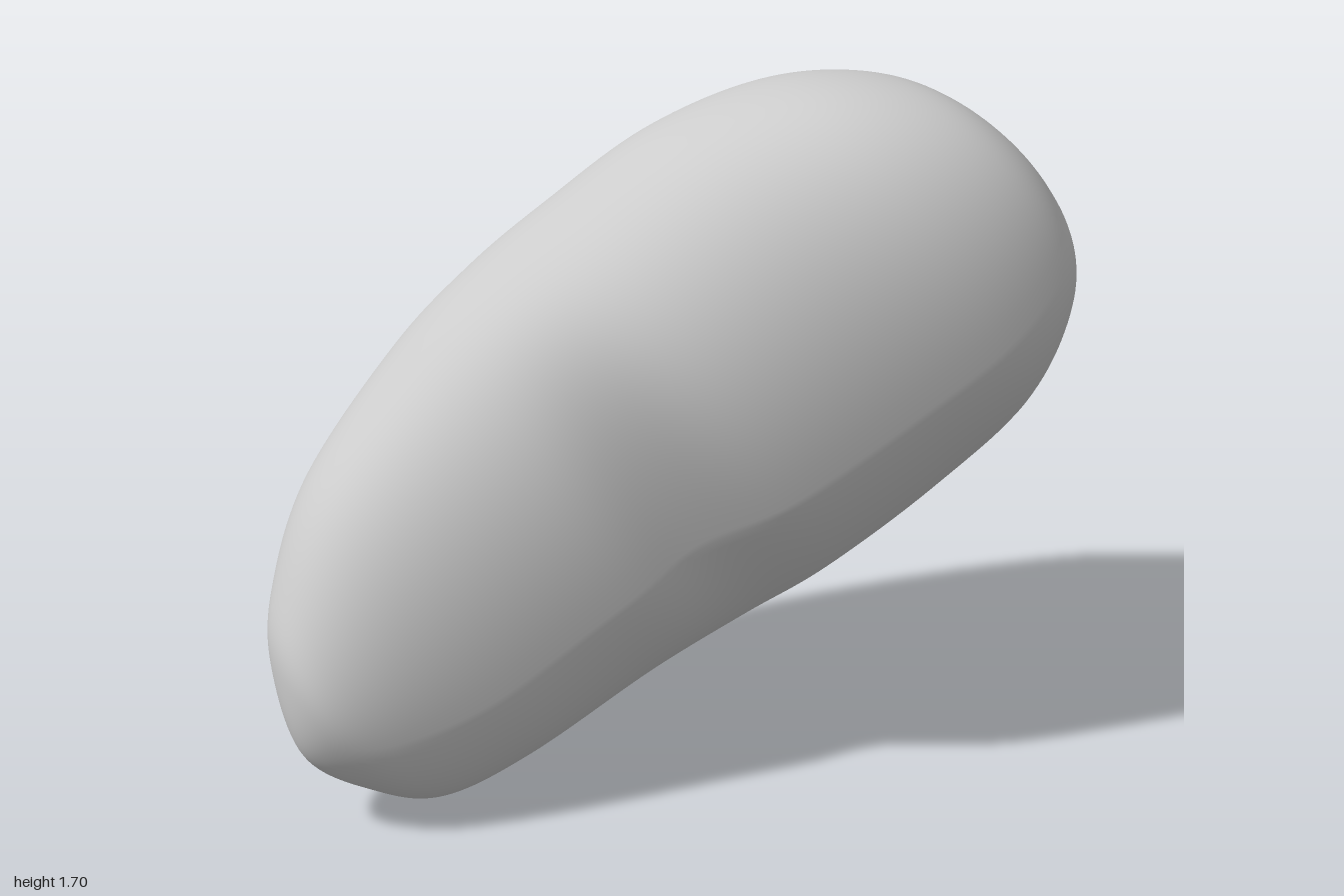
import * as THREE from 'three';

// Sections along the slanted long axis:
// u, lower edge, upper edge, front depth, back depth, depth of the upper/lower edges,
// height of the front ridge, shape power below and above that ridge (over 1 is angular, under 1 is full)
const SECTIONS = [
  [-1.155, -0.03, -0.03, 0.12, 0.12, 0.12, -0.03, 1, 0.96],
  [-1.08, -0.235, 0.18, 0.24, -0.04, 0.08, -0.01, 1, 0.96],
  [-0.96, -0.395, 0.31, 0.288, -0.18, 0.03, -0.07, 1.04, 0.93],
  [-0.73, -0.485, 0.44, 0.315, -0.365, -0.02, -0.13, 1.12, 0.9],
  [-0.365, -0.56, 0.525, 0.338, -0.51, -0.08, -0.14, 1.2, 0.88],
  [-0.1, -0.595, 0.562, 0.412, -0.55, -0.08, -0.14, 1.2, 0.88],
  [0.14, -0.612, 0.578, 0.475, -0.55, -0.05, -0.14, 1.2, 0.88],
  [0.45, -0.59, 0.584, 0.522, -0.515, 0, -0.14, 1.18, 0.88],
  [0.74, -0.507, 0.518, 0.55, -0.44, 0.06, -0.13, 1.08, 0.88],
  [0.95, -0.345, 0.385, 0.495, -0.29, 0.1, -0.1, 0.98, 0.88],
  [1.06, -0.19, 0.22, 0.38, -0.1, 0.13, -0.05, 0.96, 0.92],
  [1.11, -0.02, -0.02, 0.16, 0.16, 0.16, -0.02, 0.96, 0.96],
];

// Sections mirrored past each tip make the ends close round
const mirrored = ([u, low, high, front, back, ...rest]) => [u, high, low, back, front, ...rest];
const ROWS = [mirrored(SECTIONS[1]), ...SECTIONS, mirrored(SECTIONS.at(-2))];

// Smooth curve through three columns of the section table
const columns = (a, b, c) => new THREE.CatmullRomCurve3(
  ROWS.map((s) => new THREE.Vector3(s[a], s[b], s[c])), false, 'catmullrom', 0.5);

function bodyGeometry(rows = 120, sides = 96) {
  const outline = columns(0, 1, 2), depth = columns(3, 4, 5), ridge = columns(6, 7, 8);
  const tilt = THREE.MathUtils.degToRad(33);
  const cosT = Math.cos(tilt), sinT = Math.sin(tilt);
  const positions = [], index = [];
  for (let i = 0; i <= rows; i++) {
    const t = (1 + (i / rows) * (ROWS.length - 3)) / (ROWS.length - 1);
    const { x: u, y: low, z: high } = outline.getPoint(t);
    const { x: front, y: back, z: mid } = depth.getPoint(t);
    const { x: frontRidge, y: lowerPower, z: upperPower } = ridge.getPoint(t);
    for (let j = 0; j < sides; j++) {
      const a = (j / sides) * Math.PI * 2;
      const c = Math.cos(a), s = Math.sin(a);
      const isFront = c > 0;
      const frontPower = s > 0 ? upperPower : lowerPower;
      const power = isFront ? frontPower : 0.94;
      const cp = Math.abs(c) ** power, sp = Math.abs(s) ** power;
      const centre = isFront ? frontRidge : low + (high - low) * 0.48;
      const v = centre + ((s > 0 ? high : low) - centre) * sp;
      let z = mid + ((isFront ? front : back) - mid) * cp;
      // Crease across the inner bend, fading toward the edges
      if (isFront) z -= 0.07 * cp ** 3 * Math.exp(-(((u + 0.12) / 0.14) ** 2));
      positions.push(u * cosT - v * sinT, 0.85 + u * sinT + v * cosT, z);
      if (i < rows) {
        const k = (j + 1) % sides;
        const A = i * sides + j, B = A + sides, C = i * sides + k, D = C + sides;
        if (i > 0) index.push(A, B, C);
        else index.push(A, B, D);
        if (i > 0 && i < rows - 1) index.push(B, D, C);
      }
    }
  }
  const geometry = new THREE.BufferGeometry();
  geometry.setAttribute('position', new THREE.Float32BufferAttribute(positions, 3));
  geometry.setIndex(index);
  geometry.computeVertexNormals();

  // Share one normal over each rounded tip
  const normals = geometry.attributes.normal;
  for (let j = 0; j < sides; j++) {
    normals.setXYZ(j, -cosT, -sinT, 0);
    normals.setXYZ(rows * sides + j, cosT, sinT, 0);
  }
  return geometry;
}

export function createModel() {
  const group = new THREE.Group();
  group.name = 'bean';
  const body = new THREE.Mesh(bodyGeometry(), new THREE.MeshStandardMaterial({ color: 0xcccccc }));
  body.name = 'beanBody';
  group.add(body);
  return group;
}
